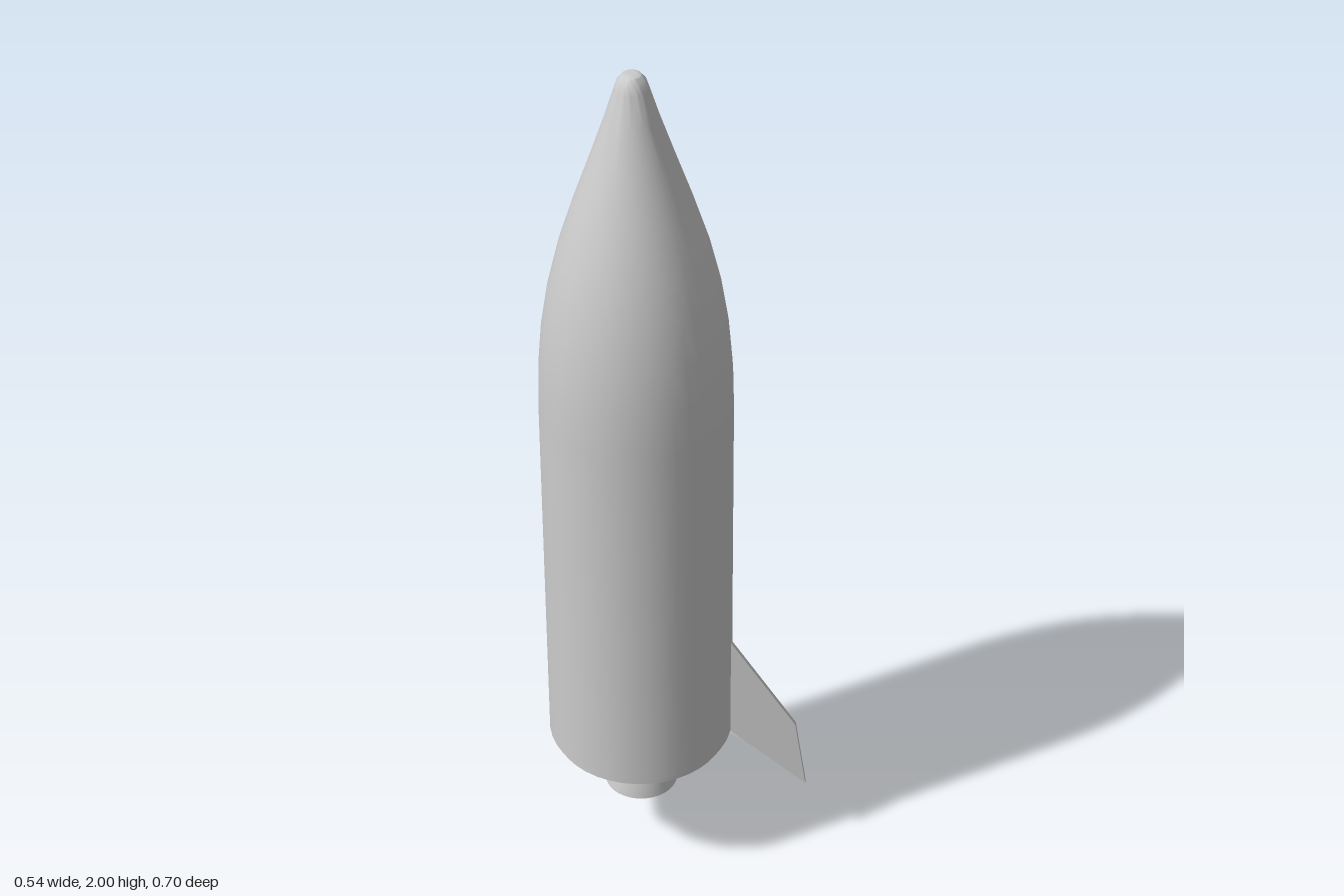
import * as THREE from 'three';
import { toCreasedNormals } from 'three/addons/utils/BufferGeometryUtils.js';

const grey = new THREE.MeshStandardMaterial({ color: 0xcccccc });
const greyDouble = new THREE.MeshStandardMaterial({ color: 0xcccccc, side: THREE.DoubleSide });
const R = 0.208; // hull radius

function addMesh(parent, name, geometry, material = grey) {
  const mesh = new THREE.Mesh(geometry, material);
  mesh.name = name;
  parent.add(mesh);
  return mesh;
}

// Turned part from [radius, height] pairs, with sharp corners kept
function turned(parent, name, profile, segments = 40) {
  const points = profile.map(([r, y]) => new THREE.Vector2(r, y));
  const geometry = toCreasedNormals(new THREE.LatheGeometry(points, segments), 0.5);
  return addMesh(parent, name, geometry, greyDouble);
}

function box(parent, name, size, position) {
  const mesh = addMesh(parent, name, new THREE.BoxGeometry(...size));
  mesh.position.set(...position);
  return mesh;
}

// Round rod between two points
function rod(parent, name, a, b, radius) {
  const dir = b.clone().sub(a);
  const mesh = addMesh(parent, name, new THREE.CylinderGeometry(radius, radius, dir.length(), 16));
  mesh.position.copy(a).add(b).multiplyScalar(0.5);
  mesh.quaternion.setFromUnitVectors(new THREE.Vector3(0, 1, 0), dir.normalize());
  return mesh;
}

function createFin() {
  const shape = new THREE.Shape();
  shape.moveTo(R - 0.012, 0.585);
  shape.lineTo(0.356, 0.345);
  shape.lineTo(0.382, 0.172);
  shape.lineTo(R - 0.012, 0.318);
  shape.closePath();
  const geometry = new THREE.ExtrudeGeometry(shape, { depth: 0.01, bevelEnabled: false });
  geometry.translate(0, 0, -0.005);
  const fin = new THREE.Group();
  addMesh(fin, 'finBlade', geometry);
  fin.name = 'fin';
  fin.rotation.y = Math.PI / 6;
  return fin;
}

// Landing leg pointing to -z, in hull-centred coordinates
function createLeg() {
  const leg = new THREE.Group();
  leg.name = 'landingLeg';
  box(leg, 'footPad', [0.074, 0.022, 0.118], [0, 0.011, -0.434]);

  // Two lower struts with their hull brackets
  for (const side of [-1, 1]) {
    const top = new THREE.Vector3(side * 0.09, 0.365, -0.19);
    const foot = new THREE.Vector3(side * 0.01, 0.028, -0.446);
    rod(leg, 'lowerStrut', top, foot, 0.011);
    box(leg, 'lowerBracket', [0.03, 0.042, 0.03], [side * 0.09, 0.365, -0.185]);
  }

  // Telescoping upper strut in three steps
  const top = new THREE.Vector3(0, 0.63, -0.21);
  const foot = new THREE.Vector3(0, 0.03, -0.448);
  const at = (t) => top.clone().lerp(foot, t);
  rod(leg, 'upperStrutSleeve', top, at(0.38), 0.0115);
  rod(leg, 'upperStrutMiddle', at(0.37), at(0.75), 0.008);
  rod(leg, 'upperStrutRod', at(0.74), foot, 0.005);
  box(leg, 'upperBracket', [0.034, 0.05, 0.024], [0, 0.625, -0.207]);

  // Tapered web plate between the lower struts
  const web = new THREE.Shape();
  web.moveTo(-0.012, 0);
  web.lineTo(0.012, 0);
  web.lineTo(0.05, 0.17);
  web.quadraticCurveTo(0, 0.176, -0.05, 0.17);
  web.closePath();
  const plate = addMesh(leg, 'webPlate', new THREE.ExtrudeGeometry(web, { depth: 0.008, bevelEnabled: false }));
  plate.position.set(0, 0.02, -0.444);
  plate.rotation.x = Math.atan2(0.256, 0.337) + 0.1;
  return leg;
}

export function createModel() {
  const model = new THREE.Group();
  model.name = 'rocket';
  const rocket = new THREE.Group();
  rocket.name = 'rocketAssembly';
  rocket.position.set(-0.063, 0, 0.142);
  model.add(rocket);

  // Hull and ogive nose with a rounded tip
  turned(rocket, 'hull', [
    [0.197, 0.312], [R, 0.312], [R, 1.2], [0.2055, 1.3], [0.197, 1.4], [0.181, 1.5],
    [0.157, 1.6], [0.125, 1.7], [0.09, 1.8], [0.056, 1.9], [0.036, 1.965],
    [0.03, 1.983], [0.02, 1.995], [0.01, 1.999], [0, 2],
  ]);

  // Recessed tail ring, open below
  turned(rocket, 'tailRing', [
    [0.145, 0.42], [0.183, 0.42], [0.183, 0.292], [0.197, 0.292], [0.197, 0.314],
  ]);

  // Thrust cone inside the tail
  turned(rocket, 'thrustCone', [
    [0.036, 0.29], [0.06, 0.325], [0.1, 0.36], [0.13, 0.39], [0.146, 0.42],
  ]);

  // Hollow engine bell
  turned(rocket, 'engineBell', [
    [0.033, 0.31], [0.036, 0.29], [0.054, 0.25], [0.068, 0.215], [0.077, 0.18], [0.083, 0.145],
    [0.076, 0.145], [0.07, 0.18], [0.061, 0.215], [0.047, 0.25], [0.03, 0.29], [0, 0.3],
  ], 32);

  rocket.add(createFin(), createLeg());
  return model;
}
